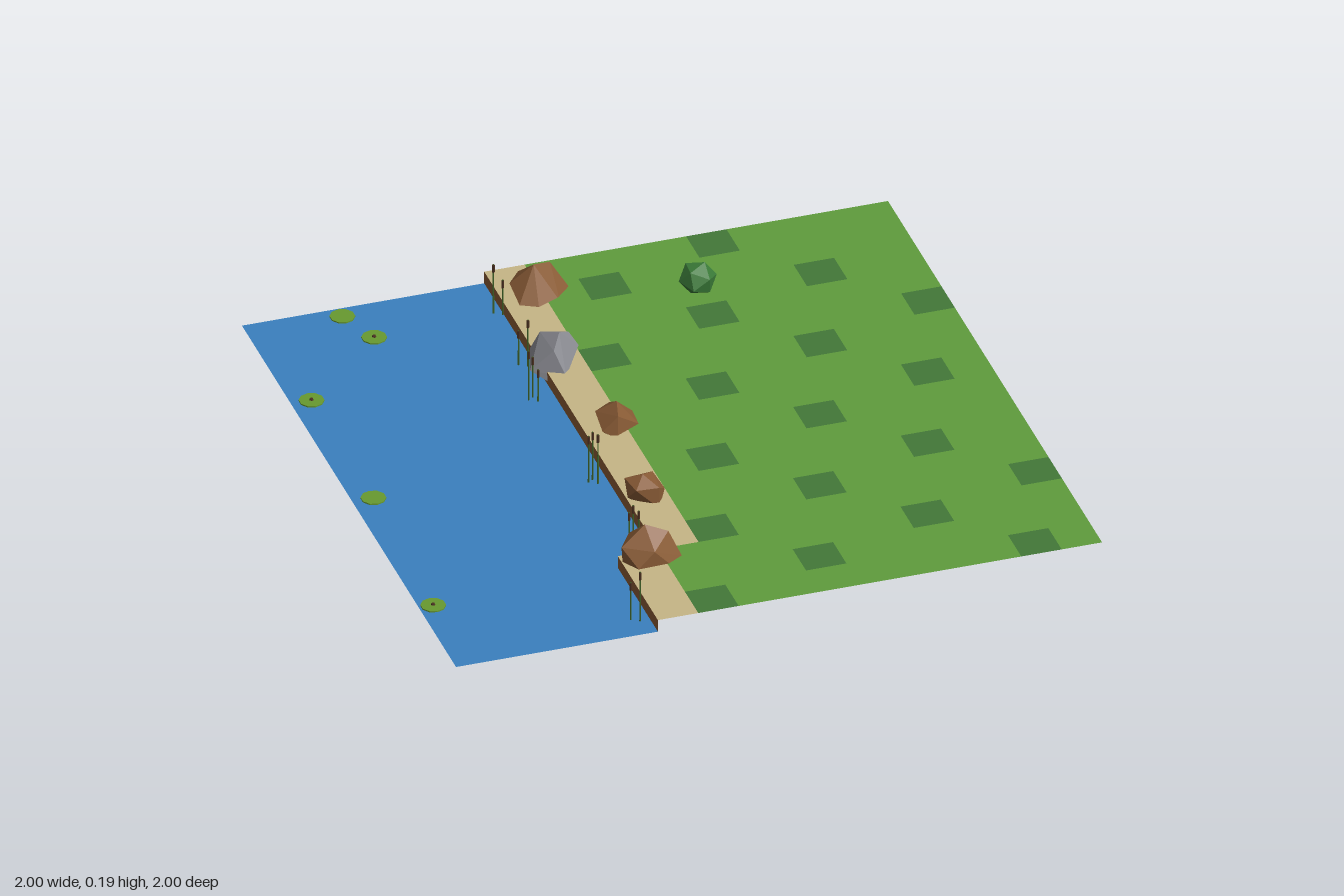
import * as THREE from 'three';
import { mergeGeometries } from 'three/addons/utils/BufferGeometryUtils.js';
import { ConvexGeometry } from 'three/addons/geometries/ConvexGeometry.js';

const WATER_Y = 0.02, LAND_Y = 0.06, CELL = 0.125, N = 16;

const mat = (name, color, options = {}) => {
  const m = new THREE.MeshStandardMaterial({ color, ...options });
  m.name = name;
  return m;
};

export function createModel() {
  const model = new THREE.Group();
  model.name = 'riverbank';
  const open = { side: THREE.DoubleSide }, flat = { flatShading: true };
  const water = mat('water blue', 0x3a80be, open);
  const grass = mat('grass green', 0x5f9c3c, open);
  const darkGrass = mat('dark grass green', 0x437838, open);
  const sand = mat('sand', 0xc6b686, open);
  const earth = mat('earth brown', 0x8a5c36, { ...open, ...flat });
  const stone = mat('stone grey', 0x8c8d94, flat);
  const leaf = mat('bush green', 0x3a7a38, flat);
  const reed = mat('reed green', 0x3f6228, flat);
  const cattail = mat('cattail brown', 0x4a3020, flat);
  const pad = mat('lily pad green', 0x68992f, flat);

  const add = (name, geometry, material, parent = model) => {
    const mesh = new THREE.Mesh(geometry, material);
    mesh.name = name;
    parent.add(mesh);
    return mesh;
  };
  // Horizontal rectangle between two corners
  const floor = (x0, x1, z0, z1, y) => new THREE.PlaneGeometry(x1 - x0, z1 - z0)
    .rotateX(-Math.PI / 2).translate((x0 + x1) / 2, y, (z0 + z1) / 2);

  // Water, with the shore stepping out near the front
  add('water', mergeGeometries([
    floor(-1, -0.25, -1, 0.625, WATER_Y),
    floor(-1, -0.375, 0.625, 1, WATER_Y),
  ]), water);

  // Sandy shore, and grass with scattered darker tiles
  const tiles = { sand: [], grass: [], dark: [] };
  for (let j = 0; j < N; j++) {
    const shore = j < 13 ? 6 : 5;
    for (let i = shore; i < N; i++) {
      const x = -1 + i * CELL, z = -1 + j * CELL;
      const kind = i === shore ? 'sand' : (i + 3 * j) % 8 === 3 ? 'dark' : 'grass';
      tiles[kind].push(floor(x, x + CELL, z, z + CELL, LAND_Y));
    }
  }
  add('sandShore', mergeGeometries(tiles.sand), sand);
  add('grass', mergeGeometries(tiles.grass), grass);
  add('darkGrassTiles', mergeGeometries(tiles.dark), darkGrass);

  // Earth wall between water and land
  const h = LAND_Y - WATER_Y, midY = (LAND_Y + WATER_Y) / 2;
  add('bankWall', mergeGeometries([
    new THREE.PlaneGeometry(1.625, h).rotateY(-Math.PI / 2).translate(-0.25, midY, -0.1875),
    new THREE.PlaneGeometry(0.375, h).rotateY(-Math.PI / 2).translate(-0.375, midY, 0.8125),
    new THREE.PlaneGeometry(0.125, h).rotateY(Math.PI).translate(-0.3125, midY, 0.625),
  ]), earth);

  // Angular boulders, each the hull of a few corners
  const boulder = (name, material, corners) =>
    add(name, new ConvexGeometry(corners.map((p) => new THREE.Vector3(...p))), material);
  boulder('backBoulder', earth, [
    [-0.15, 0.16, -0.84], [-0.09, 0.14, -0.87], [-0.215, 0.09, -0.87], [-0.175, 0.1, -0.91],
    [-0.05, 0.07, -0.895], [-0.04, 0.06, -0.845], [-0.085, 0.05, -0.79], [-0.16, 0.05, -0.755],
    [-0.21, 0.06, -0.79], [-0.08, 0, -0.85], [-0.18, 0.01, -0.82]]);
  boulder('greyBoulder', stone, [
    [-0.2, 0.165, -0.45], [-0.24, 0.14, -0.51], [-0.265, 0.08, -0.525], [-0.295, 0.06, -0.435],
    [-0.25, 0.03, -0.41], [-0.2, 0.05, -0.385], [-0.13, 0.09, -0.48], [-0.165, 0.08, -0.53],
    [-0.155, 0.13, -0.5], [-0.2, 0.01, -0.47], [-0.23, 0.13, -0.41]]);
  boulder('middleBoulder', earth, [
    [-0.15, 0.145, -0.065], [-0.205, 0.1, -0.1], [-0.155, 0.11, -0.12], [-0.09, 0.08, -0.1],
    [-0.085, 0.06, -0.055], [-0.165, 0.05, -0.01], [-0.205, 0.07, -0.03], [-0.16, 0.12, -0.02],
    [-0.15, 0.015, -0.055], [-0.11, 0.04, -0.115]]);
  boulder('smallBoulder', earth, [
    [-0.2, 0.135, 0.33], [-0.245, 0.11, 0.295], [-0.225, 0.1, 0.28], [-0.155, 0.11, 0.285],
    [-0.135, 0.08, 0.34], [-0.165, 0.11, 0.38], [-0.235, 0.11, 0.375], [-0.25, 0.07, 0.34],
    [-0.165, 0.04, 0.38], [-0.19, 0.02, 0.33], [-0.22, 0.04, 0.29]]);
  boulder('frontBoulder', earth, [
    [-0.3, 0.17, 0.65], [-0.33, 0.11, 0.59], [-0.295, 0.08, 0.58], [-0.235, 0.1, 0.605],
    [-0.195, 0.06, 0.68], [-0.235, 0.05, 0.71], [-0.34, 0.06, 0.715], [-0.375, 0.11, 0.66],
    [-0.37, 0.03, 0.66], [-0.23, 0.14, 0.66], [-0.29, 0.11, 0.715], [-0.28, 0.01, 0.65]]);

  // Round bush
  const bush = add('bush', new THREE.IcosahedronGeometry(0.058), leaf);
  bush.position.set(0.31, 0.11, -0.695);
  bush.scale.y = 0.87;
  bush.rotation.set(0.2, 0.5, 0.1);

  // Reed clumps: [x, z, stem heights]
  const stemOffsets = [[0.012, 0.012], [-0.012, -0.003], [0.004, -0.014]];
  const clumps = [
    [-0.265, -0.83, [0.12, 0.17]], [-0.285, -0.535, [0.16, 0.12]],
    [-0.318, -0.34, [0.11, 0.17, 0.14]], [-0.295, 0.15, [0.17, 0.16, 0.165]],
    [-0.31, 0.575, [0.16, 0.15, 0.165]], [-0.418, 0.915, [0.17, 0.13]],
  ];
  for (const [x, z, heights] of clumps) {
    const clump = new THREE.Group();
    clump.name = 'reedClump';
    clump.position.set(x, WATER_Y, z);
    model.add(clump);
    heights.forEach((height, k) => {
      const [dx, dz] = stemOffsets[k];
      add('reedStem', new THREE.CylinderGeometry(0.002, 0.003, height, 5), reed, clump)
        .position.set(dx, height / 2, dz);
      add('cattail', new THREE.CylinderGeometry(0.0045, 0.0045, 0.025, 5), cattail, clump)
        .position.set(dx, height - 0.015, dz);
    });
  }

  // Lily pads, some with a small bud: [x, z, hasBud]
  const pads = [[-0.705, -0.952, 0], [-0.653, -0.812, 1], [-0.938, -0.537, 1],
    [-0.936, 0.035, 0], [-0.957, 0.657, 1]];
  for (const [x, z, hasBud] of pads) {
    add('lilyPad', new THREE.CylinderGeometry(0.038, 0.038, 0.004, 10), pad)
      .position.set(x, WATER_Y + 0.003, z);
    if (hasBud) {
      add('lilyBud', new THREE.CylinderGeometry(0.005, 0.007, 0.005, 6), cattail)
        .position.set(x, WATER_Y + 0.007, z);
    }
  }
  return model;
}
